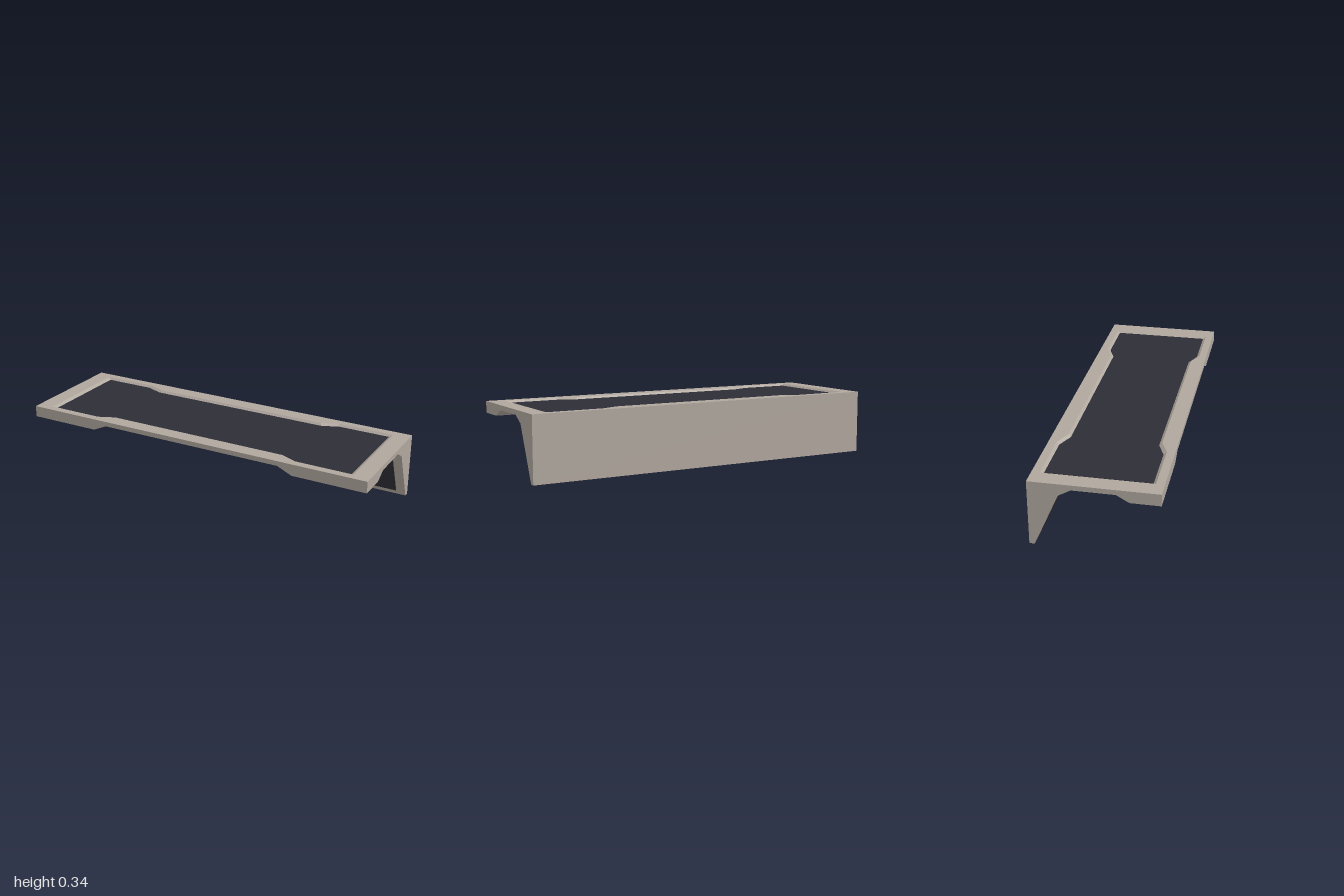
import * as THREE from 'three';

const material = (name, color) => {
  const m = new THREE.MeshStandardMaterial({ color });
  m.name = name;
  return m;
};

const shapeOf = (points) => new THREE.Shape(points.map(([x, y]) => new THREE.Vector2(x, y)));
const extrude = (shape, depth) => new THREE.ExtrudeGeometry(shape, { depth, bevelEnabled: false });

// Flat quads, corners counter-clockwise seen from outside
function quads(list) {
  const positions = [];
  for (const [a, b, c, d] of list) positions.push(...a, ...b, ...c, ...a, ...c, ...d);
  const geometry = new THREE.BufferGeometry();
  geometry.setAttribute('position', new THREE.Float32BufferAttribute(positions, 3));
  geometry.computeVertexNormals();
  return geometry;
}

// Twelve-point outline, wide at both ends and narrow in the middle
function waistedOutline(endX, endZ, kneeX, waistX, waistZ) {
  const half = [[endX, endZ], [kneeX, endZ], [waistX, waistZ]];
  const front = [...half, ...half.map(([x, z]) => [-x, z]).reverse()];
  return [...front, ...front.map(([x, z]) => [x, -z]).reverse()];
}

export function createModel() {
  const model = new THREE.Group();
  const tan = material('warm stone', 0xb0a79e);
  const dark = material('dark slate', 0x2d2d36);
  const grey = material('light grey', 0xb0b1b4);

  const add = (parent, name, geometry, mat) => {
    const mesh = new THREE.Mesh(geometry, mat);
    mesh.name = name;
    parent.add(mesh);
    return mesh;
  };

  const TOP = 0.344, FLOOR = 0.332, CEILING = 0.318, LIP = 0.282;

  // Back wall and shelf slab, one profile swept along x
  const profile = shapeOf([
    [-0.32, 0], [-0.293, 0], [-0.17, LIP], [-0.107, CEILING],
    [0.32, CEILING], [0.32, FLOOR], [-0.32, FLOOR],
  ]);
  const body = extrude(profile, 2);
  body.rotateY(-Math.PI / 2).translate(1, 0, 0);
  add(model, 'wallAndShelf', body, tan);

  // Raised rim around the recessed top
  const outer = waistedOutline(0.91, 0.278, 0.6, 0.51, 0.24);
  const inner = waistedOutline(0.892, 0.263, 0.61, 0.52, 0.226);
  const rimShape = shapeOf([[-1, -0.32], [1, -0.32], [1, 0.32], [-1, 0.32]]);
  rimShape.holes.push(new THREE.Path(outer.map(([x, y]) => new THREE.Vector2(x, y))));
  const rim = extrude(rimShape, TOP - FLOOR);
  rim.rotateX(-Math.PI / 2).translate(0, FLOOR, 0);
  add(model, 'topRim', rim, tan);

  // Sloping edge between rim and recessed panel
  const bevel = quads(outer.map(([x, z], i) => {
    const j = (i + 1) % outer.length;
    return [
      [x, TOP, z], [outer[j][0], TOP, outer[j][1]],
      [inner[j][0], FLOOR, inner[j][1]], [inner[i][0], FLOOR, inner[i][1]],
    ].reverse();
  }));
  const bevelMaterial = tan;
  bevelMaterial.side = THREE.DoubleSide;
  add(model, 'recessBevel', bevel, bevelMaterial);

  // Dark top panel
  const panel = extrude(shapeOf(inner), 0.002);
  panel.rotateX(-Math.PI / 2).translate(0, FLOOR, 0);
  add(model, 'topPanel', panel, dark);

  // Thick lip blocks under the front corners
  for (const side of [1, -1]) {
    const block = new THREE.Group();
    block.name = side > 0 ? 'leftLipBlock' : 'rightLipBlock';
    block.scale.x = side;
    model.add(block);
    const A = [0.6, LIP, 0.17], B = [1, LIP, 0.17], C = [1, LIP, 0.32], D = [0.6, LIP, 0.32];
    const a = [0.52, CEILING, 0.107], b = [1, CEILING, 0.107];
    const c = [1, CEILING, 0.32], d = [0.52, CEILING, 0.32];
    add(block, 'lipUnderside', quads([[A, B, C, D], [A, D, d, a]]), grey);
    add(block, 'lipSides', quads([[D, C, c, d], [C, B, b, c], [B, A, a, b]]), tan);
  }

  // Thin dark plates on the sloping inner face of the wall
  const plates = {
    leftPlate: [[0.565, 0.025], [0.95, 0.025], [0.95, 0.258], [0.565, 0.258]],
    rightPlate: [[-0.95, 0.025], [-0.565, 0.025], [-0.565, 0.258], [-0.95, 0.258]],
    leftBracePlate: [[0.485, 0.032], [0.485, 0.252], [0.07, 0.142]],
    rightBracePlate: [[-0.485, 0.252], [-0.485, 0.032], [-0.07, 0.142]],
    upperBracePlate: [[-0.39, 0.264], [0, 0.16], [0.39, 0.264]],
    lowerBracePlate: [[-0.38, 0.017], [0.38, 0.017], [0, 0.123]],
  };
  for (const [name, points] of Object.entries(plates)) {
    const plate = extrude(shapeOf(points), 0.005);
    const p = plate.attributes.position;
    // Lean the plate onto the wall
    for (let i = 0; i < p.count; i++) p.setZ(i, p.getZ(i) - 0.293 + p.getY(i) * 0.123 / LIP);
    plate.computeVertexNormals();
    add(model, name, plate, dark);
  }

  return model;
}
